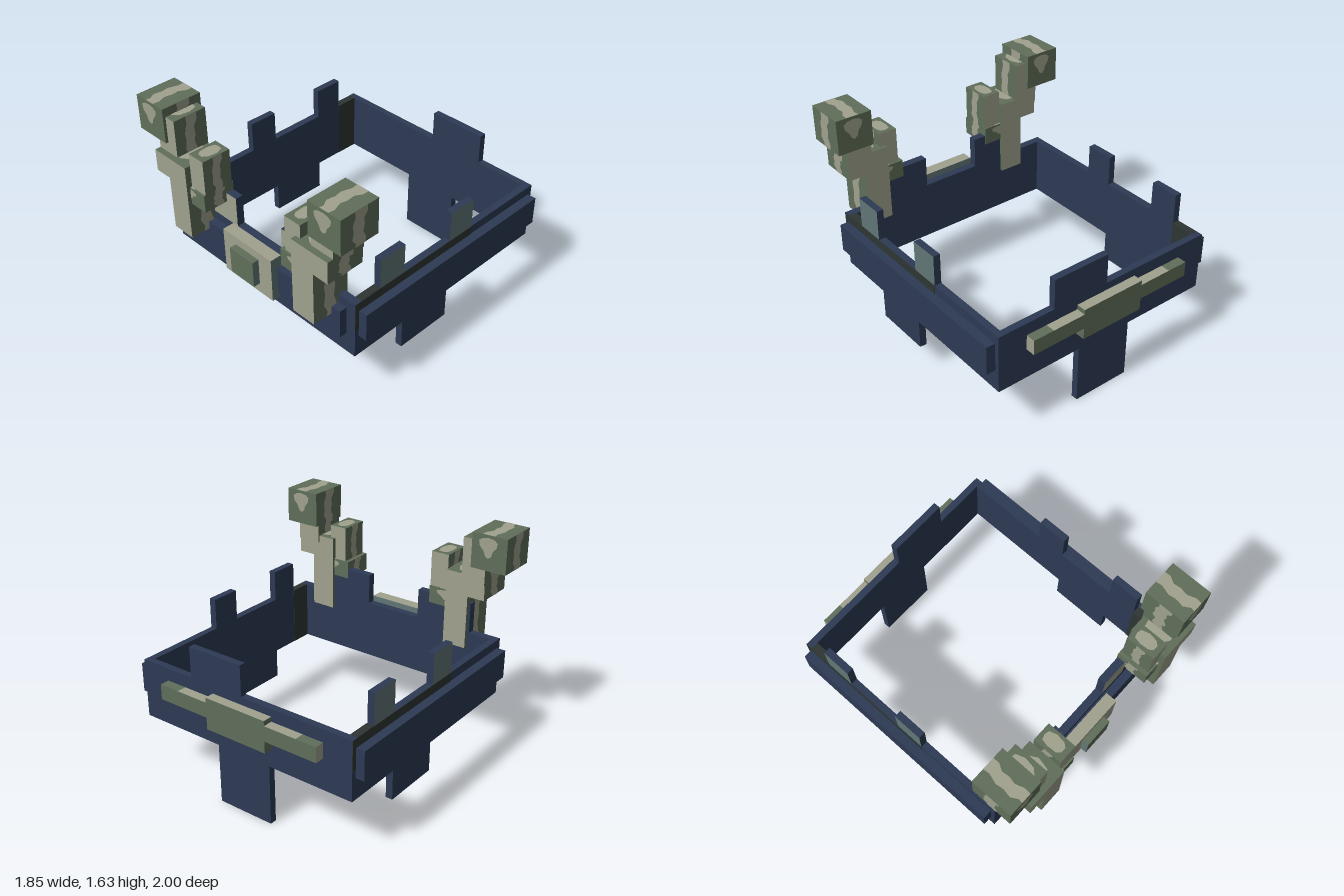
import * as THREE from 'three';

const mat = (name, color) => {
  const m = new THREE.MeshStandardMaterial({ color });
  m.name = name;
  return m;
};

export function createModel() {
  const root = new THREE.Group();
  root.name = 'beltWithAntlers';
  const navy = mat('navy', 0x2d3a54);
  const tan = mat('tan', 0xa0a28e);
  const green = mat('mossGreen', 0x606f5a);
  const teal = mat('teal', 0x627676);
  const dark = mat('darkSlate', 0x2e3533);

  // Box from its limits; one material, or six in the order +x -x +y -y +z -z
  const box = (name, [x0, x1], [y0, y1], [z0, z1], material, parent = root) => {
    const m = new THREE.Mesh(new THREE.BoxGeometry(x1 - x0, y1 - y0, z1 - z0), material);
    m.position.set((x0 + x1) / 2, (y0 + y1) / 2, (z0 + z1) / 2);
    m.name = name;
    parent.add(m);
    return m;
  };

  // Mottled markings in face coordinates 0..1
  const band = [[0.36, 1], [0.38, 0.85], [0.3, 0.62], [0.33, 0.45], [0.29, 0.25], [0.39, 0.1], [0.37, 0],
    [0.64, 0], [0.66, 0.15], [0.58, 0.35], [0.62, 0.52], [0.6, 0.7], [0.7, 0.85], [0.7, 1]];
  const blob = [[0.2, 0.82], [0.3, 0.9], [0.48, 0.93], [0.64, 0.9], [0.73, 0.82], [0.7, 0.68],
    [0.6, 0.55], [0.57, 0.42], [0.48, 0.35], [0.4, 0.4], [0.34, 0.55], [0.23, 0.67]];
  const spot = [[0.2, 0.3], [0.17, 0.6], [0.25, 0.83], [0.5, 0.88], [0.74, 0.84], [0.86, 0.6],
    [0.8, 0.3], [0.62, 0.17], [0.35, 0.18]];
  const faces = {
    left: [0, Math.PI / 2], right: [0, -Math.PI / 2], top: [-Math.PI / 2, 0],
    bottom: [Math.PI / 2, 0], front: [0, 0], back: [0, Math.PI],
  };
  const mark = (mesh, side, points) => {
    const { width, height, depth } = mesh.geometry.parameters;
    const [rx, ry] = faces[side];
    const w = side === 'left' || side === 'right' ? depth : width;
    const h = side === 'top' || side === 'bottom' ? depth : height;
    const d = side === 'front' || side === 'back' ? depth : rx ? height : width;
    const shape = new THREE.Shape(points.map(([u, v]) => new THREE.Vector2((u - 0.5) * w, (v - 0.5) * h)));
    const g = new THREE.ShapeGeometry(shape);
    g.translate(0, 0, d / 2 + 0.002).rotateX(rx).rotateY(ry);
    const m = new THREE.Mesh(g, tan);
    m.name = side + 'Marking';
    mesh.add(m);
  };

  // Belt walls
  const Y = [0.435, 0.86], tabY = [0.86, 1.08];
  const frontZ = [0.74, 0.797], backZ = [-0.926, -0.877];
  box('frontWall', [-0.86, 0.86], Y, frontZ, navy);
  box('backWall', [-0.86, 0.86], Y, backZ, navy);
  box('frontPlate', [-0.79, 0.79], [0.59, 0.8], [0.797, 0.855], navy);

  // Tabs on the front and back walls
  const tanFront = [navy, navy, navy, navy, tan, navy];
  box('frontRightTab', [-0.645, -0.215], tabY, frontZ, tanFront);
  box('frontLeftInnerTab', [0.215, 0.43], tabY, frontZ, tanFront);
  box('frontLeftOuterTab', [0.43, 0.645], tabY, frontZ, navy);
  box('backTab', [0, 0.43], tabY, backZ, navy);
  box('rearFlap', [-0.215, 0.215], [0, 0.435], backZ, navy);

  // Side walls: the right one is the left one turned half round z = -0.065
  for (const s of [1, -1]) {
    const side = s > 0 ? 'left' : 'right';
    const X = (a, b) => (s > 0 ? [a, b] : [-b, -a]);
    const Z = (a, b) => (s > 0 ? [a, b] : [-0.13 - b, -0.13 - a]);
    const outerTeal = s > 0 ? [teal, navy, navy, navy, navy, navy] : [navy, teal, navy, navy, navy, navy];
    box(side + 'Wall', X(0.81, 0.86), Y, [-0.877, 0.74], navy);
    box(side + 'Plate', X(0.86, 0.925), [0.59, 0.797], [-0.894, 0.765], navy);
    box(side + 'Tab', X(0.81, 0.86), tabY, Z(0.365, 0.58), outerTeal);
    box(side + 'Tab', X(0.81, 0.86), tabY, Z(-0.28, -0.065), outerTeal);
    box(side + 'Flap', X(0.81, 0.86), [0.22, 0.435], Z(-0.065, 0.365), navy);
    box(side + 'DarkStrip', X(0.859, 0.863), [0.65, 0.86], Z(-0.28, 0.797), dark);
    const end = s > 0 ? [0.58, 0.74] : [-0.877, -0.71];
    box(side + 'DarkInside', X(0.807, 0.811), Y, end, dark);
    box(side + 'DarkTop', X(0.807, 0.86), [0.859, 0.862], end, dark);
  }

  // Front buckle
  box('buckle', [-0.23, 0.23], [0.56, 0.89], [0.82, 0.905], [teal, teal, tan, tan, tan, teal]);
  box('buckleBoss', [-0.11, 0.11], [0.635, 0.83], [0.905, 0.955], [teal, teal, green, green, green, teal]);

  // Back ornament
  const orn = [-0.995, -0.926];
  box('ornamentCentre', [-0.243, 0.243], [0.575, 0.805], orn, [green, green, tan, green, green, green]);
  for (const s of [1, -1]) {
    const X = (a, b) => (s > 0 ? [a, b] : [-b, -a]);
    box('ornamentArm', X(0.243, 0.49), [0.66, 0.77], orn, [green, green, tan, green, green, green]);
    box('ornamentTip', X(0.49, 0.645), [0.66, 0.77], orn, [tan, tan, green, green, green, green]);
  }

  // Antlers
  const limb = (name, x, y, z, parent) => {
    const m = box(name, x, y, z, [green, green, green, green, tan, tan], parent);
    mark(m, 'left', band);
    mark(m, 'right', band);
    mark(m, 'top', spot);
  };
  const knob = (name, x, y, z, parent) => {
    const m = box(name, x, y, z, green, parent);
    for (const f of ['left', 'right', 'top', 'bottom']) mark(m, f, band);
    for (const f of ['front', 'back']) mark(m, f, blob);
  };
  const antler = (name, p) => {
    const g = new THREE.Group();
    g.name = name;
    limb('stem', p.stem, [0.745, 1.14], [0.717, 1], g);
    limb('elbow', p.elbow, [1.14, 1.3], [0.717, 1], g);
    limb('upperBranch', p.upper, [1.25, 1.57], [0.707, 0.957], g);
    limb('innerBranch', p.inner, [1.14, 1.395], [0.745, 0.96], g);
    knob('innerKnob', p.knob, [1.012, 1.14], [0.735, 0.973], g);
    knob('tip', p.tip, [1.38, 1.632], [0.677, 0.977], g);
    root.add(g);
  };
  antler('rightAntler', {
    stem: [-0.628, -0.45], elbow: [-0.757, -0.45], upper: [-0.757, -0.578],
    inner: [-0.447, -0.31], knob: [-0.6, -0.31], tip: [-0.925, -0.66],
  });
  antler('leftAntler', {
    stem: [0.535, 0.718], elbow: [0.535, 0.842], upper: [0.663, 0.842],
    inner: [0.44, 0.575], knob: [0.41, 0.7], tip: [0.66, 0.925],
  });

  return root;
}
